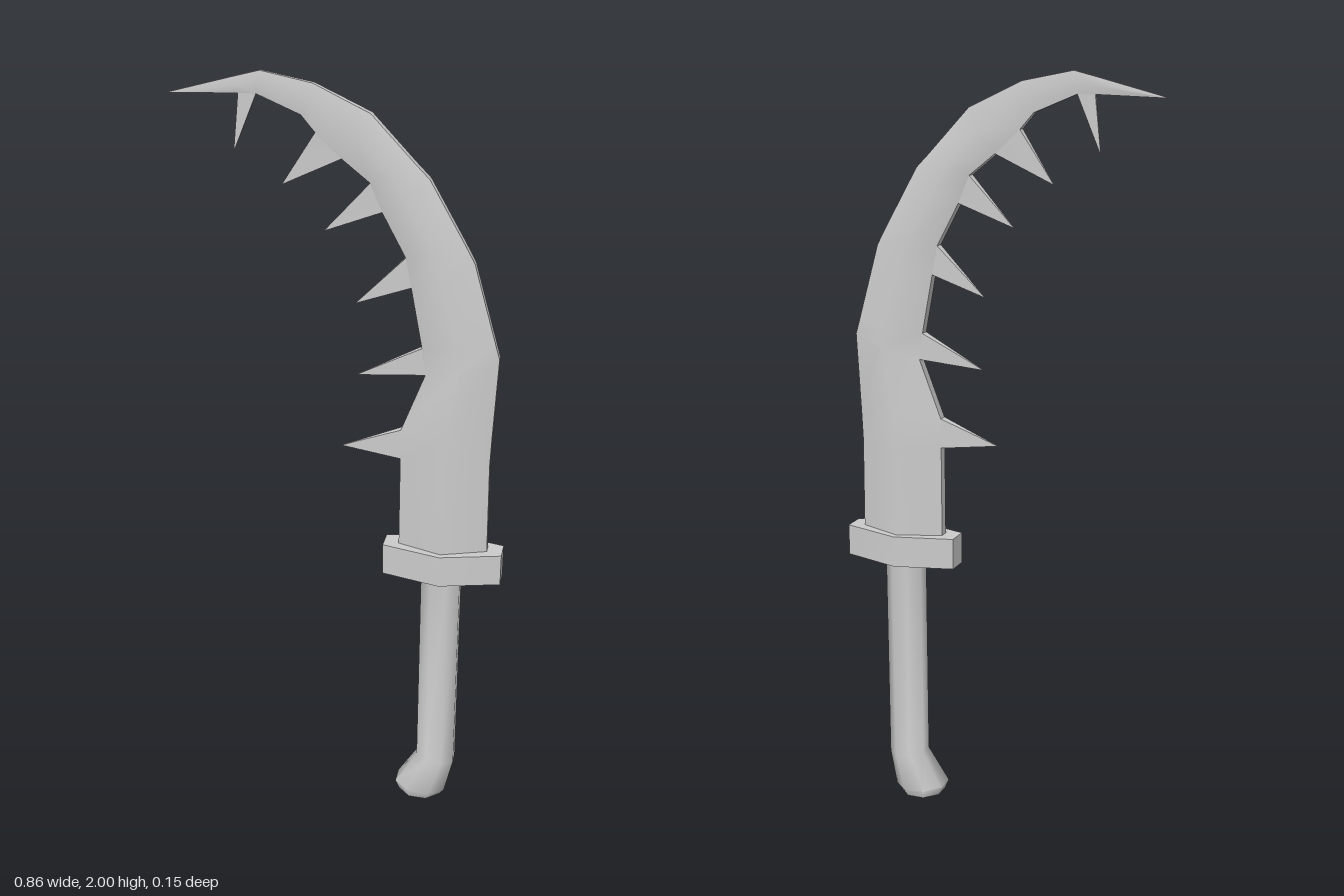
import * as THREE from 'three';
import { toCreasedNormals } from 'three/addons/utils/BufferGeometryUtils.js';

// Skins a list of equal-length rings, each counter-clockwise seen from the far end, and caps both ends.
function loft(rings) {
  const n = rings[0].length, last = (rings.length - 1) * n;
  const positions = rings.flat(2), index = [];
  for (let j = 0; j < rings.length - 1; j++) {
    for (let i = 0; i < n; i++) {
      const a = j * n + i, b = j * n + (i + 1) % n;
      index.push(a, b, b + n, a, b + n, a + n);
    }
  }
  for (let i = 1; i < n - 1; i++) {
    index.push(0, i + 1, i, last, last + i, last + i + 1);
  }
  const geometry = new THREE.BufferGeometry();
  geometry.setAttribute('position', new THREE.Float32BufferAttribute(positions, 3));
  geometry.setIndex(index);
  geometry.computeVertexNormals();
  return geometry;
}

// Blade stations: inner edge x, y; outer edge x, y; half thickness at the ridge
const STATIONS = [
  [0.155, 0.75, 0.39, 0.75, 0.056],
  [0.155, 1.03, 0.387, 1.03, 0.055],
  [0.155, 1.11, 0.39, 1.11, 0.054],
  [0.215, 1.265, 0.40, 1.32, 0.05],
  [0.205, 1.335, 0.388, 1.36, 0.049],
  [0.175, 1.49, 0.33, 1.56, 0.043],
  [0.16, 1.565, 0.305, 1.605, 0.041],
  [0.10, 1.675, 0.215, 1.76, 0.035],
  [0.07, 1.745, 0.18, 1.795, 0.032],
  [0.0, 1.80, 0.07, 1.91, 0.023],
  [-0.065, 1.86, -0.01, 1.947, 0.018],
  [-0.10, 1.90, -0.07, 1.975, 0.014],
  [-0.21, 1.945, -0.20, 2.0, 0.009],
  [-0.255, 1.945, -0.26, 1.985, 0.007],
  [-0.43, 1.939, -0.43, 1.941, 0.001],
];

// Spikes: first of the two stations they grow between, then tip x, y
const SPIKES = [
  [1, 0.0, 1.05], [3, 0.04, 1.25], [5, 0.035, 1.44],
  [7, -0.045, 1.62], [9, -0.15, 1.73], [12, -0.27, 1.805],
];

const edgeWidth = (w) => Math.min(0.012, w * 0.6);

function bladeRing([ix, iy, ox, oy, w]) {
  const e = edgeWidth(w), mx = (ix + ox) / 2, my = (iy + oy) / 2;
  return [[ox, oy, -e], [mx, my, -w], [ix, iy, -e], [ix, iy, e], [mx, my, w], [ox, oy, e]];
}

function spikeGeometry([s, tx, ty]) {
  const [lx, ly, , , lw] = STATIONS[s], [hx, hy, , , hw] = STATIONS[s + 1];
  const l = edgeWidth(lw), h = edgeWidth(hw), t = 0.0008;
  return loft([
    [[lx, ly, -l], [lx, ly, l], [hx, hy, h], [hx, hy, -h]],
    [[tx, ty - t, -t], [tx, ty - t, t], [tx, ty + t, t], [tx, ty + t, -t]],
  ]);
}

// Octagonal handle ring with flat sides; tilt raises the -x side
function handleRing([cx, y, rx, rz, tilt]) {
  const k = 1 / Math.cos(Math.PI / 8);
  return Array.from({ length: 8 }, (_, i) => {
    const a = (i + 0.5) * Math.PI / 4, c = Math.cos(a) * k;
    return [cx + c * rx, y - c * tilt, -Math.sin(a) * k * rz];
  });
}

// Guard ring: a long hexagon, widest at the middle
function guardRing(y) {
  return [[0.43, y, -0.03], [0.272, y, -0.073], [0.115, y, -0.03],
    [0.115, y, 0.03], [0.272, y, 0.073], [0.43, y, 0.03]];
}

export function createModel() {
  const group = new THREE.Group();
  const material = new THREE.MeshStandardMaterial({ color: 0xcccccc });
  const add = (name, geometry) => {
    const mesh = new THREE.Mesh(geometry, material);
    mesh.name = name;
    group.add(mesh);
  };

  // Curved blade with a ridge down each side
  add('blade', toCreasedNormals(loft(STATIONS.map(bladeRing)), 0.8));

  // Hooked spikes along the inner edge
  SPIKES.forEach((s, i) => add('spike' + (i + 1), toCreasedNormals(spikeGeometry(s), 0.5)));

  // Cross guard
  add('guard', toCreasedNormals(loft([0.70, 0.785].map(guardRing)), 1.2));

  // Straight grip that bends into a flared pommel
  add('handle', toCreasedNormals(loft([
    [0.228, 0.003, 0.058, 0.055, 0.002],
    [0.23, 0.025, 0.07, 0.063, 0.006],
    [0.27, 0.12, 0.052, 0.045, 0.006],
    [0.27, 0.72, 0.052, 0.045, 0],
  ].map(handleRing)), 1.0));

  return group;
}
